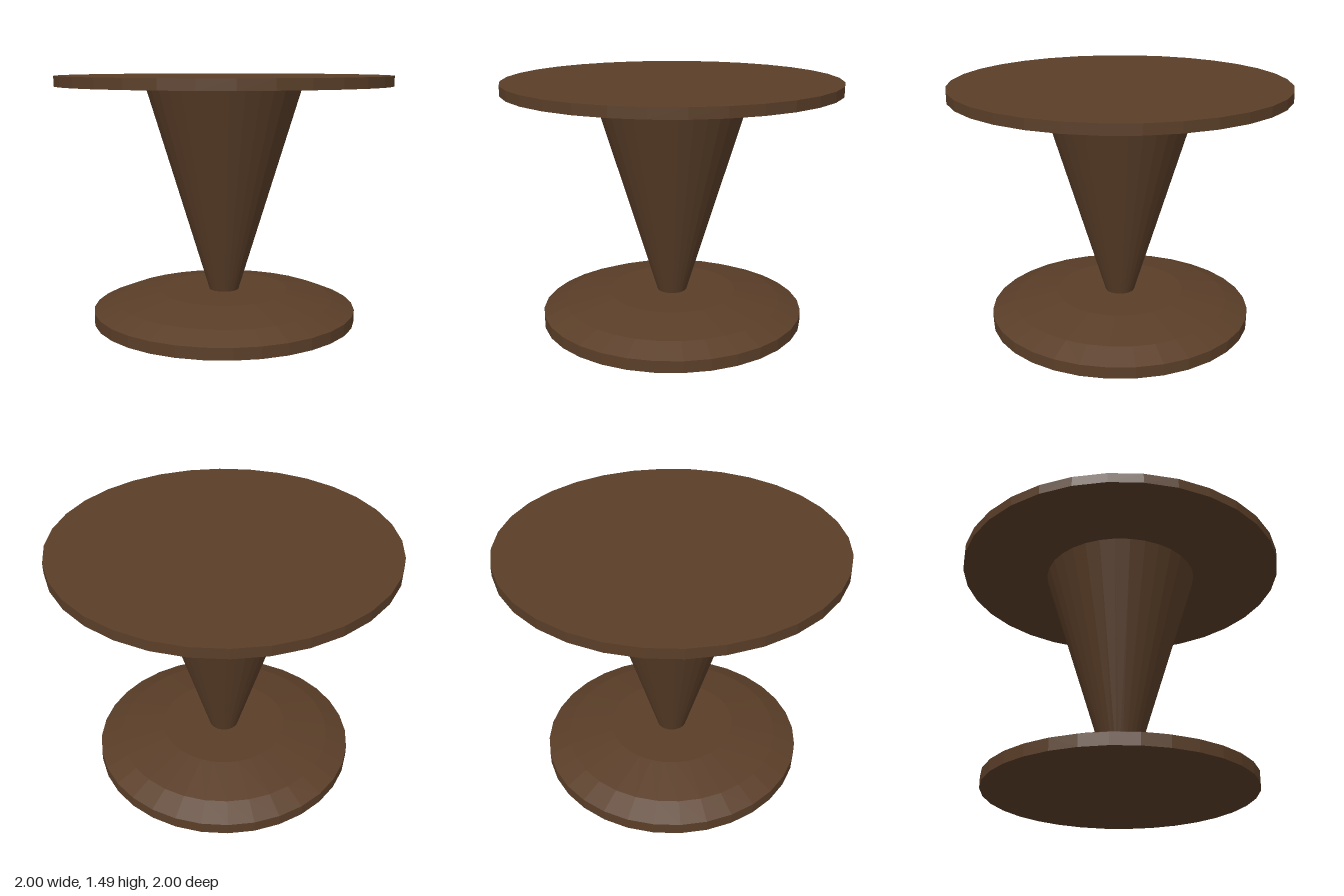
import * as THREE from 'three';

const SIDES = 32;

export function createModel() {
  const group = new THREE.Group();
  const wood = new THREE.MeshStandardMaterial({ color: 0x5a3e28, flatShading: true });

  const add = (name, geometry, y = 0) => {
    const mesh = new THREE.Mesh(geometry, wood);
    mesh.name = name;
    mesh.position.y = y;
    group.add(mesh);
  };

  // Round foot: short vertical rim, then two shallow slopes up to a flat top
  const footProfile = [
    [0, 0], [0.8, 0], [0.8, 0.07], [0.665, 0.125], [0.39, 0.178], [0, 0.178],
  ].map(([r, y]) => new THREE.Vector2(r, y));
  add('foot', new THREE.LatheGeometry(footProfile, SIDES));

  // Column flaring upward from the foot to the underside of the top
  const columnBottom = 0.178, columnTop = 1.425;
  add('column',
    new THREE.CylinderGeometry(0.47, 0.09, columnTop - columnBottom, SIDES, 1, true),
    (columnBottom + columnTop) / 2);

  // Thin round table top
  add('tableTop', new THREE.CylinderGeometry(1, 1, 0.06, SIDES), 1.455);

  return group;
}
